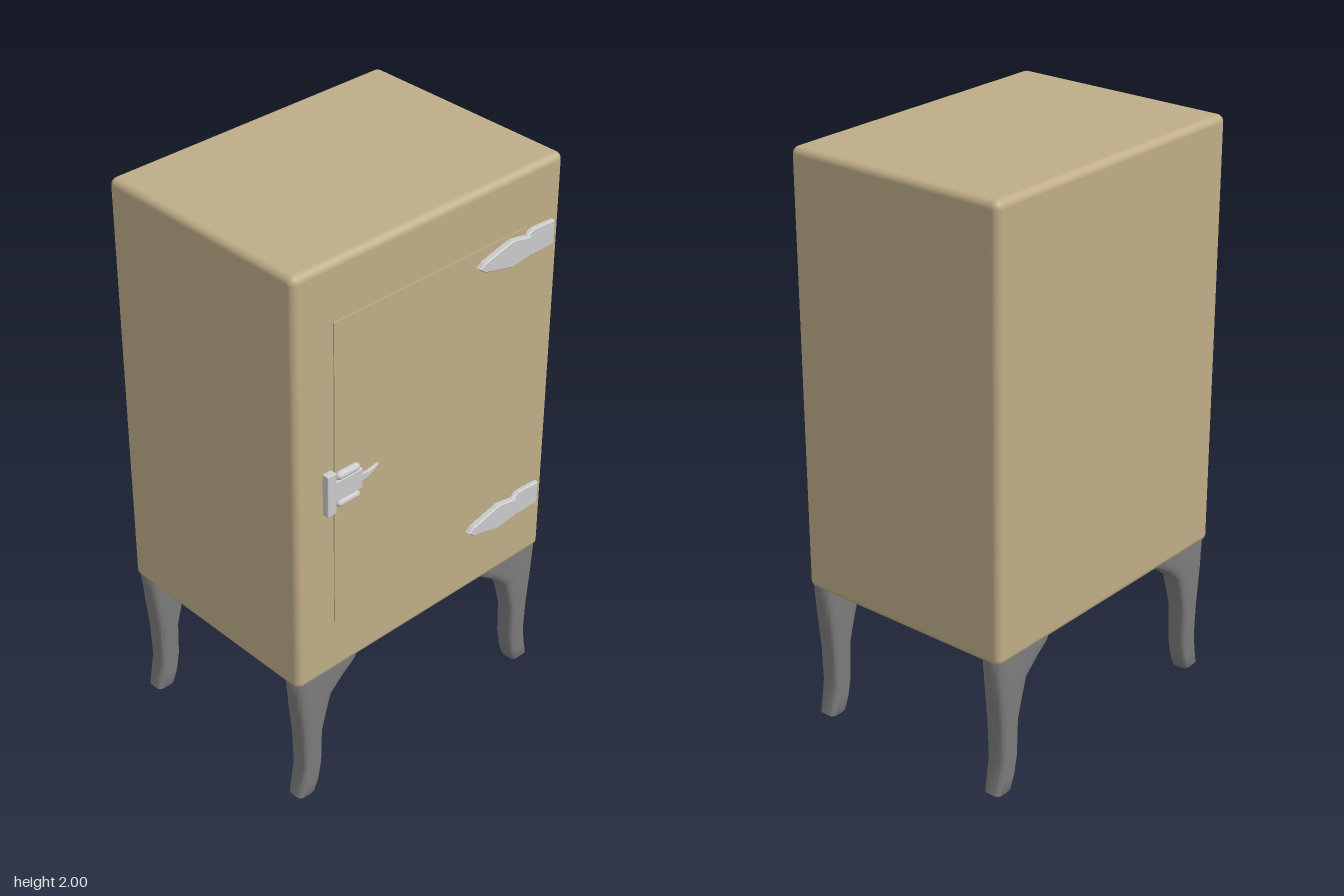
import * as THREE from 'three';
import { RoundedBoxGeometry } from 'three/addons/geometries/RoundedBoxGeometry.js';
import { toCreasedNormals } from 'three/addons/utils/BufferGeometryUtils.js';

const enamel = new THREE.MeshStandardMaterial({ color: 0xbfad87 });
const iron = new THREE.MeshStandardMaterial({ color: 0x7c7c7c });
const steel = new THREE.MeshStandardMaterial({ color: 0xcccccc });

function add(parent, name, geometry, material, x = 0, y = 0, z = 0) {
  const mesh = new THREE.Mesh(geometry, material);
  mesh.name = name;
  mesh.position.set(x, y, z);
  parent.add(mesh);
  return mesh;
}

// Flat plate cut from an outline, with a small bevel, its back at z = 0
function plate(points, depth, bevel = 0.003) {
  const shape = new THREE.Shape(points.map(([x, y]) => new THREE.Vector2(x, y)));
  const geometry = new THREE.ExtrudeGeometry(shape, {
    depth: depth - bevel, bevelEnabled: true, bevelSize: bevel,
    bevelOffset: -bevel, bevelThickness: bevel, bevelSegments: 1,
  });
  return geometry;
}

// Leg lofted through rounded sections: [y, inner x, outer x, half depth]
function legGeometry() {
  const sections = [
    [0.005, 0.478, 0.536, 0.027], [0.012, 0.47, 0.543, 0.032], [0.06, 0.454, 0.532, 0.035],
    [0.13, 0.443, 0.52, 0.037], [0.26, 0.44, 0.524, 0.039], [0.33, 0.42, 0.532, 0.04],
    [0.4, 0.397, 0.54, 0.041], [0.45, 0.337, 0.546, 0.041], [0.485, 0.287, 0.551, 0.041],
    [0.51, 0.277, 0.552, 0.041],
  ];
  const sides = 24;
  const positions = [];
  const index = [];
  const round = (v) => Math.sign(v) * Math.sqrt(Math.abs(v));
  sections.forEach(([y, inner, outer, depth], row) => {
    for (let i = 0; i < sides; i++) {
      const a = (i / sides) * Math.PI * 2;
      positions.push(
        (inner + outer) / 2 + ((outer - inner) / 2) * round(Math.cos(a)),
        y,
        depth * round(Math.sin(a)),
      );
      if (row === 0) continue;
      const j = (i + 1) % sides;
      const low = (row - 1) * sides;
      const high = row * sides;
      index.push(low + i, high + i, low + j, low + j, high + i, high + j);
    }
  });
  // Close the foot and the top
  const last = (sections.length - 1) * sides;
  for (let i = 1; i < sides - 1; i++) {
    index.push(0, i, i + 1, last, last + i + 1, last + i);
  }
  const geometry = new THREE.BufferGeometry();
  geometry.setAttribute('position', new THREE.Float32BufferAttribute(positions, 3));
  geometry.setIndex(index);
  return toCreasedNormals(geometry, 0.75);
}

export function createModel() {
  const model = new THREE.Group();
  model.name = 'icebox';

  // Cabinet and the slightly raised door
  add(model, 'cabinet', new RoundedBoxGeometry(1.11, 1.505, 0.815, 5, 0.025), enamel, 0, 1.2475, -0.0125);
  add(model, 'door', new THREE.BoxGeometry(0.8, 1.1, 0.02), enamel, 0, 1.25, 0.389);

  // Four cabriole legs; half a turn gives the opposite side
  const leg = legGeometry();
  for (const z of [0.354, -0.375]) {
    add(model, 'leftLeg', leg, iron, 0, 0, z);
    add(model, 'rightLeg', leg, iron, 0, 0, z).rotation.y = Math.PI;
  }

  // Strap hinges: pointed leaf on the door, short leaf on the cabinet
  const strap = plate([
    [0.18, 0], [0.2, -0.018], [0.26, -0.033], [0.32, -0.047], [0.4, -0.037],
    [0.4, 0.03], [0.32, 0.045], [0.26, 0.03], [0.2, 0.014],
  ], 0.025);
  const butt = plate([
    [0.39, -0.035], [0.42, -0.046], [0.515, -0.043],
    [0.515, 0.04], [0.42, 0.045], [0.39, 0.033],
  ], 0.017);
  for (const y of [1.745, 0.748]) {
    const hinge = new THREE.Group();
    hinge.name = 'hinge';
    hinge.position.set(0, y, 0.393);
    add(hinge, 'doorLeaf', strap, steel);
    add(hinge, 'cabinetLeaf', butt, steel);
    add(hinge, 'knuckle', new THREE.CylinderGeometry(0.011, 0.011, 0.065, 12), steel, 0.4, -0.003, 0.013);
    model.add(hinge);
  }

  // Door latch: keeper, body, two side ribs and a curved lever
  const latch = new THREE.Group();
  latch.name = 'latch';
  latch.position.set(0, 1.213, 0.393);
  add(latch, 'keeper', new RoundedBoxGeometry(0.036, 0.15, 0.026, 2, 0.003), steel, -0.426, 0, 0.012);
  add(latch, 'latchBody', new RoundedBoxGeometry(0.115, 0.074, 0.022, 2, 0.004), steel, -0.354, 0, 0.01);
  for (const side of [-1, 1]) {
    const rib = new THREE.CapsuleGeometry(0.014, 0.067, 4, 12);
    add(latch, 'latchRib', rib, steel, -0.354, side * 0.05, 0.013).rotation.z = Math.PI / 2;
    add(latch, 'ribBracket', new THREE.BoxGeometry(0.08, 0.02, 0.016), steel, -0.354, side * 0.04, 0.008);
  }
  add(latch, 'lever', plate([
    [-0.3, -0.018], [-0.265, -0.012], [-0.24, 0], [-0.225, 0.016],
    [-0.245, 0.012], [-0.27, 0.008], [-0.3, 0.012],
  ], 0.015, 0.002), steel);
  model.add(latch);

  return model;
}
